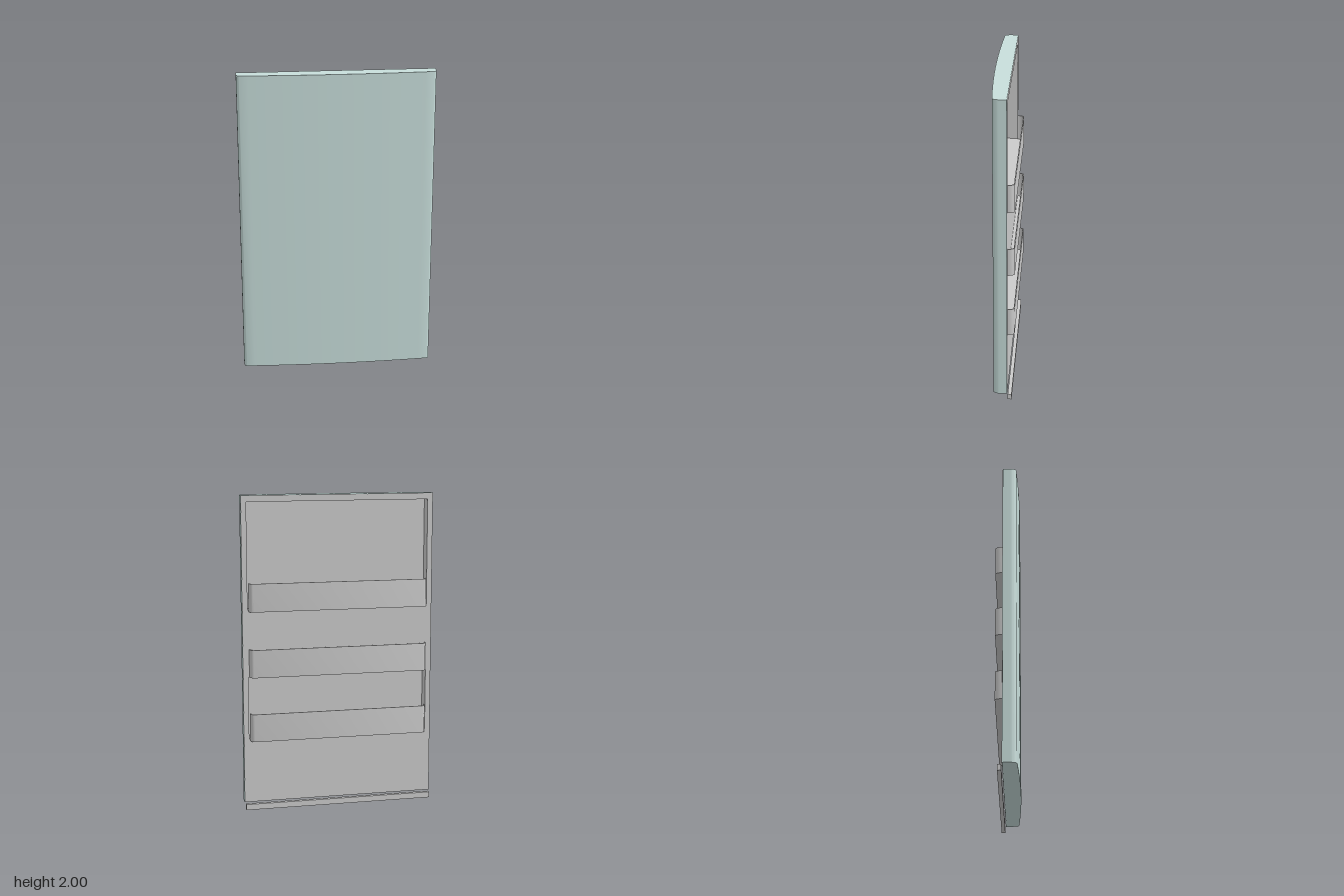
import * as THREE from 'three';
import { toCreasedNormals } from 'three/addons/utils/BufferGeometryUtils.js';

const WIDTH = 0.614, BOTTOM = 0.045, TOP = 2, BACK = -0.03, FLOOR = 0.045;

// Extrude a plan outline of [x, z] points upwards from y0 to y1.
function extrudeUp(points, y0, y1) {
  const shape = new THREE.Shape(points.map(([x, z]) => new THREE.Vector2(x, -z)));
  const geo = new THREE.ExtrudeGeometry(shape, { depth: y1 - y0, bevelEnabled: false });
  geo.rotateX(-Math.PI / 2).translate(0, y0, 0);
  return toCreasedNormals(geo, 0.6);
}

// Extrude an upright rectangle with rectangular openings from z0 to z1.
function frame(halfWidth, y0, y1, openings, z0, z1) {
  const rect = (target, w, a, b) =>
    target.moveTo(-w, a).lineTo(w, a).lineTo(w, b).lineTo(-w, b).closePath();
  const shape = rect(new THREE.Shape(), halfWidth, y0, y1);
  for (const [a, b] of openings) shape.holes.push(rect(new THREE.Path(), 0.58, a, b));
  const geo = new THREE.ExtrudeGeometry(shape, { depth: z1 - z0, bevelEnabled: false });
  return geo.translate(0, 0, z0);
}

// Bowed front with rounded corners, running from the right back edge to the left.
function doorOutline() {
  const pts = [[-WIDTH, BACK]];
  const corner = (t) => [0.592 + 0.022 * Math.cos(t), 0.015 + 0.04 * Math.sin(t)];
  for (let i = 0; i <= 8; i++) {
    const [x, z] = corner((i / 8) * Math.PI / 2);
    pts.push([-x, z]);
  }
  for (let i = 1; i < 24; i++) {
    const x = -0.592 + (1.184 * i) / 24;
    pts.push([x, 0.073 - 0.018 * (x / 0.592) ** 2]);
  }
  for (let i = 8; i >= 0; i--) pts.push(corner((i / 8) * Math.PI / 2));
  pts.push([WIDTH, BACK]);
  return pts;
}

// Rack plan: straight front with rounded ends, inset by t.
function rackOutline(t) {
  const pts = [];
  for (let i = 0; i <= 6; i++) {
    const a = (i / 6) * Math.PI / 2;
    pts.push([0.55 + (0.024 - t) * Math.cos(a), BACK - (0.045 - t) * Math.sin(a)]);
  }
  return [...pts, ...pts.map(([x, z]) => [-x, z]).reverse()];
}

export function createModel() {
  const model = new THREE.Group();
  const teal = new THREE.MeshStandardMaterial({ color: 0xc8dedb });
  const grey = new THREE.MeshStandardMaterial({ color: 0xcccccc });
  const add = (name, geo, mat, parent = model) => {
    const mesh = new THREE.Mesh(geo, mat);
    mesh.name = name;
    parent.add(mesh);
    return mesh;
  };

  // Coloured outer skin, closed above and below
  const outline = doorOutline();
  const inner = [[0.592, BACK], [0.592, FLOOR], [-0.592, FLOOR], [-0.592, BACK]];
  add('doorSkin', extrudeUp([...outline, ...inner], BOTTOM, TOP), teal);
  add('doorTop', extrudeUp(outline, TOP - 0.012, TOP), teal);
  add('doorBottom', extrudeUp(outline, BOTTOM, BOTTOM + 0.012), teal);

  // Inner liner with two deep recesses
  const recesses = [[0.46, 0.86], [1.29, 1.96]];
  add('linerBack', frame(WIDTH - 0.001, BOTTOM + 0.001, TOP - 0.001, recesses, BACK - 0.002, BACK - 0.0005), grey);
  add('linerBody', frame(0.59, BOTTOM + 0.012, TOP - 0.012, recesses, BACK - 0.0005, FLOOR), grey);
  for (const [a, b] of recesses) {
    const panel = new THREE.BoxGeometry(1.16, b - a, 0.004);
    add('recessPanel', panel.translate(0, (a + b) / 2, FLOOR - 0.002), grey);
  }

  // Three open-topped shelf racks
  const outer = rackOutline(0), inside = rackOutline(0.007);
  for (const y of [0.45, 0.863, 1.28]) {
    const rack = new THREE.Group();
    rack.name = 'rack';
    add('rackWall', extrudeUp([...outer, ...[...inside].reverse()], 0, 0.178), grey, rack);
    add('rackFloor', extrudeUp(outer, 0, 0.01), grey, rack);
    rack.position.y = y;
    model.add(rack);
  }

  // Bar along the foot of the door
  add('bottomBar', new THREE.BoxGeometry(1.215, 0.037, 0.024).translate(0, 0.0185, -0.047), grey);

  return model;
}
